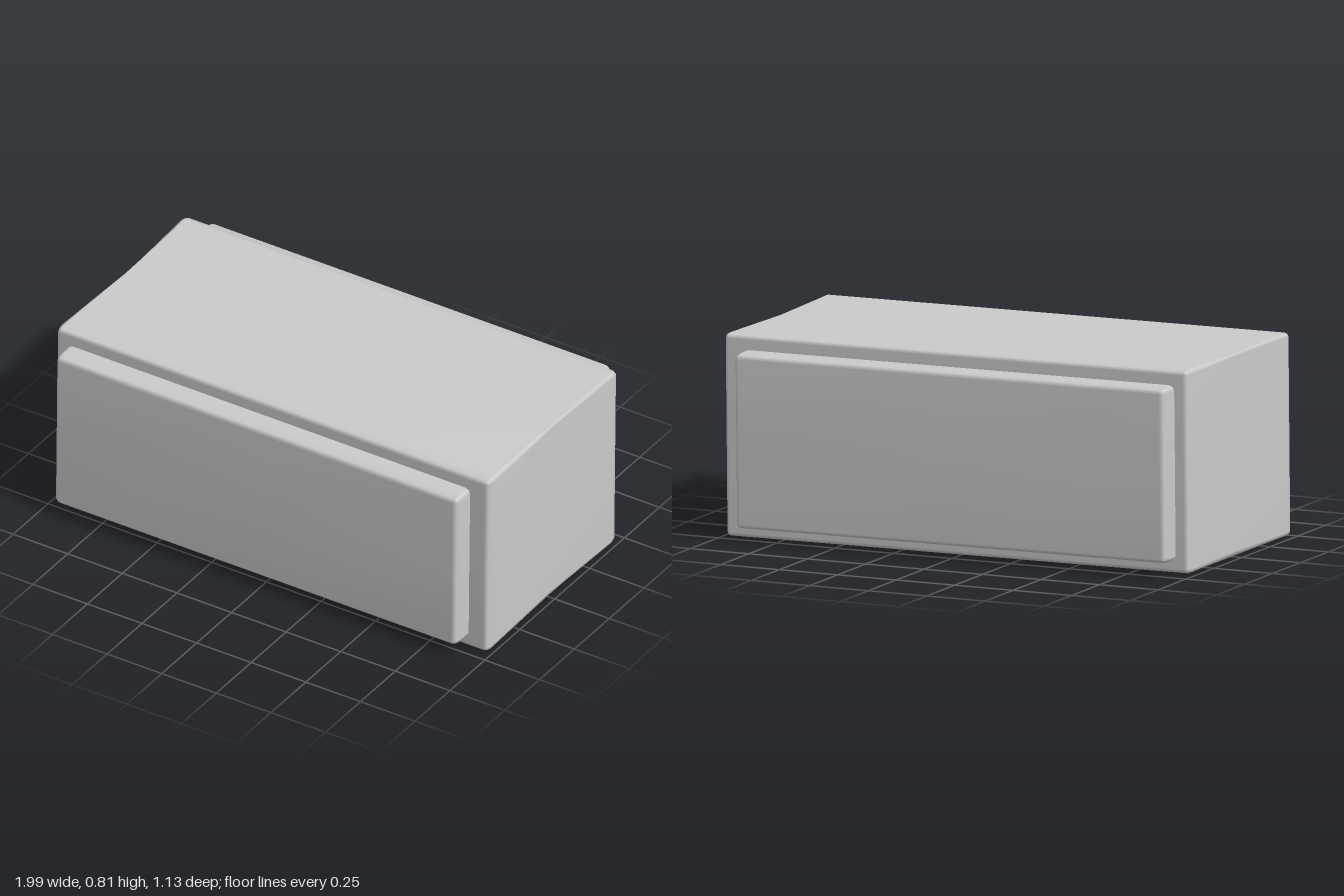
import * as THREE from 'three';
import { mergeVertices } from 'three/addons/utils/BufferGeometryUtils.js';

// Box with bevelled edges; half and bevel are [x, y, z], dip sinks the faces at z = 0
function bevelledBox(half, bevel, dip) {
  const box = new THREE.BoxGeometry(2, 2, 2, 4, 4, 4);
  box.deleteAttribute('normal');
  box.deleteAttribute('uv');
  const geometry = mergeVertices(box);
  const pos = geometry.attributes.position;
  for (let i = 0; i < pos.count; i++) {
    const grid = [pos.getX(i), pos.getY(i), pos.getZ(i)];
    // the outer ring of grid points leans outward, the rest sits on the flat faces
    const lean = grid.map((g) => (Math.abs(g) > 0.9 ? Math.sign(g) : 0));
    const length = Math.hypot(...lean);
    const p = grid.map((g, a) => {
      const inner = Math.abs(g) < 0.1 ? 0 : Math.sign(g) * (half[a] - bevel[a]);
      return inner + (lean[a] / length) * bevel[a];
    });
    // shallow waist half way between front and back
    if (Math.abs(grid[2]) < 0.1) {
      p[0] -= lean[0] * dip;
      if (p[1] > 0) p[1] -= lean[1] * dip * 0.6;
    }
    // slight hand-made skew
    pos.setXYZ(i, p[0] + 0.01 * p[1], p[1] - 0.004 * p[0], p[2] - 0.003 * p[0]);
  }
  geometry.computeVertexNormals();
  return geometry;
}

export function createModel() {
  const model = new THREE.Group();
  const material = new THREE.MeshStandardMaterial({ color: 0xcccccc });

  // main block
  const body = new THREE.Mesh(
    bevelledBox([0.99, 0.4, 0.465], [0.02, 0.02, 0.035], 0.013), material);
  body.name = 'body';
  body.position.y = 0.405;
  model.add(body);

  // smaller block passing through, showing as raised front and back panels
  const panels = new THREE.Mesh(
    bevelledBox([0.92, 0.345, 0.56], [0.022, 0.022, 0.045], 0), material);
  panels.name = 'frontAndBackPanels';
  panels.position.set(-0.015, 0.4, 0);
  model.add(panels);

  return model;
}
